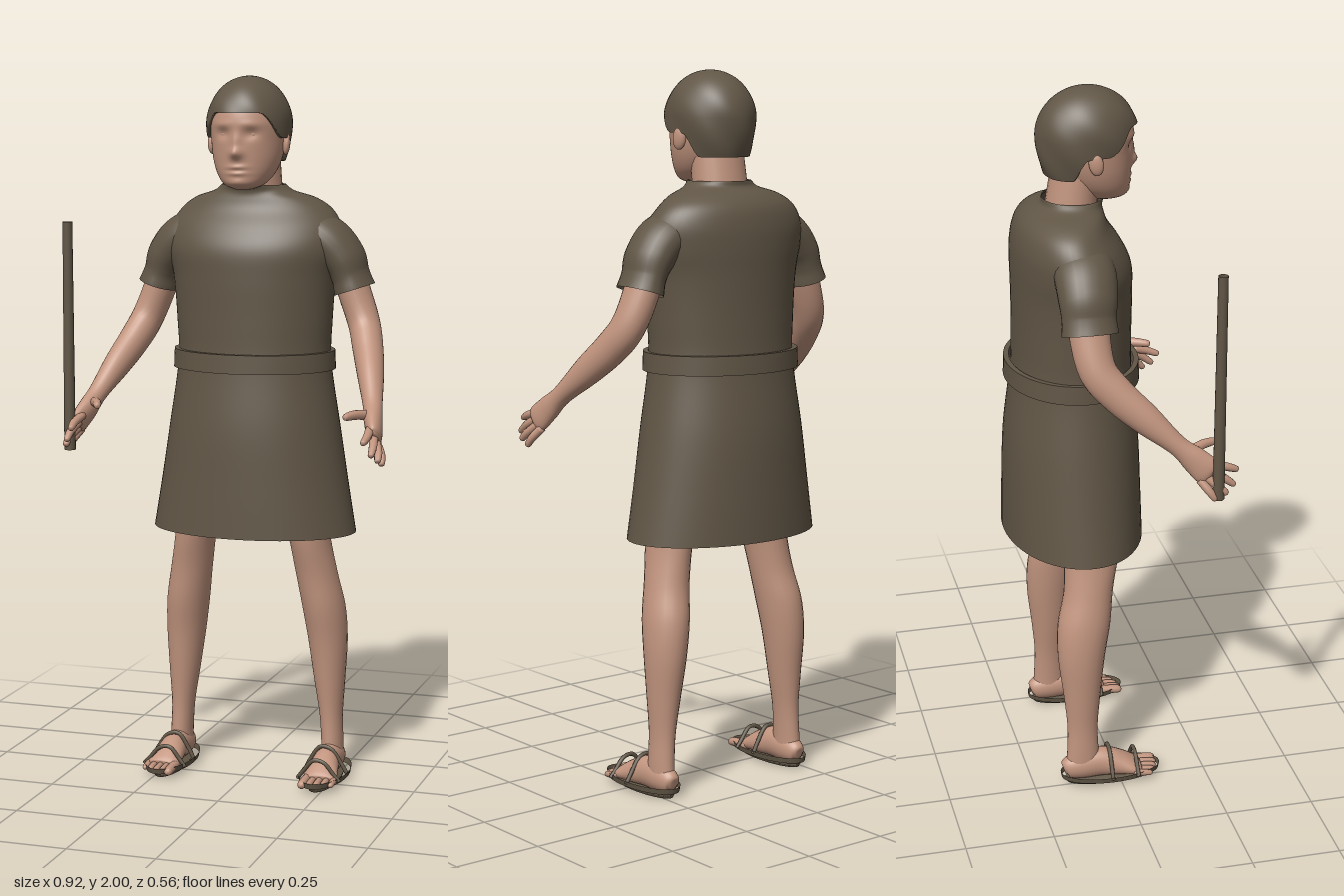
import * as THREE from 'three';
import { toCreasedNormals } from 'three/addons/utils/BufferGeometryUtils.js';
import { ParametricGeometry } from 'three/addons/geometries/ParametricGeometry.js';

const skin = new THREE.MeshStandardMaterial({ color: 0xc1947e });
skin.name = 'skin';
const brown = new THREE.MeshStandardMaterial({ color: 0x615646, side: THREE.DoubleSide });
brown.name = 'brown cloth';

// Smooth skin through elliptical rings [x, y, z, radiusAcross, radiusOther]; flat rings run upward
function loft(pts, { seg = 24, rows = 32, flat = false, cap = true } = {}) {
  const path = new THREE.CatmullRomCurve3(pts.map(p => new THREE.Vector3(p[0], p[1], p[2])), false, 'catmullrom', 0.5);
  const size = new THREE.CatmullRomCurve3(pts.map(p => new THREE.Vector3(p[3], p[4], 0)), false, 'catmullrom', 0.5);
  const pos = [], idx = [];
  for (let i = 0; i <= rows; i++) {
    const c = path.getPoint(i / rows), r = size.getPoint(i / rows);
    const t = flat ? new THREE.Vector3(0, 1, 0) : path.getTangent(i / rows);
    const a = new THREE.Vector3(1, 0, 0).addScaledVector(t, -t.x).normalize();
    const b = new THREE.Vector3().crossVectors(t, a);
    for (let j = 0; j < seg; j++) {
      const q = j / seg * Math.PI * 2;
      const v = c.clone().addScaledVector(a, Math.cos(q) * r.x).addScaledVector(b, Math.sin(q) * r.y);
      pos.push(v.x, v.y, v.z);
      if (i < rows) {
        const p = i * seg + j, n = i * seg + (j + 1) % seg;
        idx.push(p, n, n + seg, p, n + seg, p + seg);
      }
    }
  }
  if (cap) {
    const s = pos.length / 3, last = rows * seg;
    pos.push(...pts[0].slice(0, 3), ...pts[pts.length - 1].slice(0, 3));
    for (let j = 0; j < seg; j++) {
      const n = (j + 1) % seg;
      idx.push(s, n, j, s + 1, last + j, last + n);
    }
  }
  const g = new THREE.BufferGeometry();
  g.setAttribute('position', new THREE.Float32BufferAttribute(pos, 3));
  g.setIndex(idx);
  g.computeVertexNormals();
  return g;
}

const gauss = (d, w) => Math.exp(-d * d / (w * w));
const mirror = (pts, s) => pts.map(p => [p[0] * s, ...p.slice(1)]);
const ring = (y, rx, front, back) => [0, y, (front + back) / 2, rx, (front - back) / 2];

export function createModel() {
  const model = new THREE.Group();
  const add = (name, geo, mat, parent = model) => {
    const m = new THREE.Mesh(geo, mat);
    m.name = name;
    parent.add(m);
    return m;
  };

  // Tunic body and skirt, open at hem and collar
  add('tunic', loft([
    ring(0.718, 0.297, 0.11, -0.28), ring(0.86, 0.273, 0.106, -0.278), ring(1.02, 0.248, 0.1, -0.272),
    ring(1.2, 0.222, 0.082, -0.25), ring(1.32, 0.225, 0.08, -0.245), ring(1.44, 0.235, 0.081, -0.245),
    ring(1.52, 0.252, 0.077, -0.246), ring(1.58, 0.25, 0.05, -0.242), ring(1.63, 0.22, 0.016, -0.228),
    ring(1.662, 0.175, 0.004, -0.2), ring(1.682, 0.115, 0.002, -0.165), ring(1.7, 0.09, 0.01, -0.16),
  ], { seg: 56, rows: 66, flat: true, cap: false }), brown);

  // Belt: a closed band around the waist
  const belt = [[1.183, 0.218, 0.17], [1.183, 0.234, 0.187], [1.236, 0.232, 0.185], [1.236, 0.218, 0.17]];
  add('belt', toCreasedNormals(loft(belt.map(([y, a, b]) => [0, y, -0.083, a, b]),
    { seg: 56, rows: 3, flat: true, cap: false }), 0.7), brown);

  // Neck
  add('neck', loft([[0, 1.62, -0.085, 0.085, 0.075], [0, 1.7, -0.077, 0.08, 0.07], [0, 1.8, -0.06, 0.078, 0.07]],
    { flat: true }), skin);

  // Head with modelled face
  const head = loft([
    ring(1.69, 0.025, 0.05, -0.02), ring(1.703, 0.055, 0.073, -0.05), ring(1.73, 0.078, 0.08, -0.09),
    ring(1.77, 0.094, 0.083, -0.12), ring(1.82, 0.102, 0.086, -0.14), ring(1.88, 0.104, 0.09, -0.14),
    ring(1.93, 0.094, 0.073, -0.13), ring(1.965, 0.06, 0.04, -0.09),
  ], { seg: 96, rows: 90, flat: true });
  const hp = head.attributes.position;
  for (let i = 0; i < hp.count; i++) {
    const x = hp.getX(i), y = hp.getY(i), z = hp.getZ(i);
    if (z < 0.01) continue;
    const ax = Math.abs(x);
    hp.setZ(i, z
      + 0.018 * gauss(x, 0.018) * gauss(y - 1.79, 0.016)          // nose tip
      + 0.009 * gauss(x, 0.014) * gauss(y - 1.82, 0.024)          // nose bridge
      - 0.009 * gauss(ax - 0.04, 0.021) * gauss(y - 1.843, 0.015) // eye sockets
      + 0.003 * gauss(ax - 0.04, 0.03) * gauss(y - 1.868, 0.01)   // brows
      + 0.005 * gauss(x, 0.026) * (gauss(y - 1.752, 0.007) + gauss(y - 1.735, 0.007)) // lips
      - 0.002 * gauss(x, 0.028) * gauss(y - 1.743, 0.005)
      + 0.005 * gauss(x, 0.025) * gauss(y - 1.71, 0.012));        // chin
  }
  head.computeVertexNormals();
  add('head', head, skin);

  // Hair cap: straight fringe, sideburns, longer at the back, slightly lumpy
  const step = THREE.MathUtils.smoothstep;
  add('hair', new ParametricGeometry((u, v, out) => {
    const q = -u * Math.PI * 2, d = Math.abs(Math.atan2(Math.sin(q), Math.cos(q)));
    const edge = 1.9 - 0.07 * step(d, 0.6, 1.3) - 0.066 * step(d, 1.7, 2.1);
    const w = Math.min(v / 0.9, 1), y = 2 - (2 - edge) * (1 - Math.cos(w * Math.PI / 2));
    let r = y > 1.87 ? Math.sqrt(Math.max(0, 1 - ((y - 1.87) / 0.13) ** 2)) : 1 - 0.16 * ((1.87 - y) / 0.11) ** 2;
    r *= 1 + 0.014 * Math.sin(q * 6 + y * 45) * w;
    if (v > 0.9) r *= 1 - 1.4 * (v - 0.9);
    out.set(0.117 * r * Math.sin(q), y, -0.036 + 0.139 * r * Math.cos(q));
  }, 64, 30), brown);

  for (const s of [1, -1]) {
    const side = new THREE.Group();
    side.name = s > 0 ? 'leftSide' : 'rightSide';
    model.add(side);
    const limb = (name, pts, mat, opt) => add(name, loft(mirror(pts, s), opt), mat, side);

    // Eye and ear
    add('eye', new THREE.SphereGeometry(0.013, 16, 12), skin, side).position.set(0.04 * s, 1.842, 0.058);
    const ear = add('ear', new THREE.SphereGeometry(1, 16, 12), skin, side);
    ear.scale.set(0.011, 0.032, 0.02);
    ear.position.set(0.107 * s, 1.815, -0.035);
    ear.rotation.set(-0.15, 0.35 * s, 0);

    // Short sleeve with a flared hem
    limb('sleeve', [
      [0.1, 1.585, -0.09, 0.05, 0.075], [0.2, 1.555, -0.09, 0.064, 0.084], [0.255, 1.5, -0.093, 0.062, 0.08],
      [0.277, 1.45, -0.095, 0.053, 0.074], [0.29, 1.41, -0.095, 0.058, 0.077],
    ], brown, { cap: false });

    // Arm, wrist and palm
    limb('arm', [
      [0.255, 1.52, -0.095, 0.045, 0.055], [0.283, 1.42, -0.097, 0.046, 0.055], [0.32, 1.32, -0.083, 0.045, 0.051],
      [0.345, 1.255, -0.035, 0.043, 0.048], [0.372, 1.19, 0.035, 0.037, 0.042], [0.4, 1.118, 0.115, 0.027, 0.028],
      [0.414, 1.077, 0.16, 0.025, 0.036], [0.427, 1.045, 0.193, 0.019, 0.039], [0.43, 1.035, 0.205, 0.008, 0.025],
    ], skin, { rows: 48 });

    // Thumb and four fingers, each from base to tip
    const digits = [
      [[0.4, 1.095, 0.15], [0.373, 1.1, 0.195], [0.354, 1.098, 0.238]],
      [[0.415, 1.063, 0.2], [0.42, 1.05, 0.245], [0.417, 1.036, 0.282]],
      [[0.424, 1.047, 0.195], [0.434, 1.025, 0.235], [0.436, 1.0, 0.268]],
      [[0.428, 1.032, 0.186], [0.444, 1.005, 0.22], [0.449, 0.982, 0.244]],
      [[0.428, 1.022, 0.173], [0.446, 0.993, 0.195], [0.452, 0.968, 0.212]],
    ];
    digits.forEach(([a, b, c], i) => {
      const r = i ? 0.0115 : 0.013;
      const near = c.map((v, k) => v + (b[k] - v) * 0.15);
      limb(i ? 'finger' : 'thumb', [[...a, r * 1.1, r * 1.1], [...b, r, r], [...near, r * 0.75, r * 0.75], [...c, 0.002, 0.002]],
        skin, { seg: 10, rows: 12 });
    });

    // Leg, from ankle to hip
    limb('leg', [
      [0.231, 0.05, -0.105, 0.031, 0.05], [0.23, 0.1, -0.105, 0.031, 0.046], [0.226, 0.18, -0.105, 0.033, 0.044],
      [0.221, 0.28, -0.105, 0.044, 0.053], [0.215, 0.4, -0.105, 0.056, 0.067], [0.205, 0.5, -0.095, 0.061, 0.075],
      [0.188, 0.6, -0.078, 0.059, 0.07], [0.168, 0.72, -0.065, 0.058, 0.08],
      [0.148, 0.85, -0.07, 0.071, 0.09], [0.115, 1.0, -0.075, 0.085, 0.1],
    ], skin, { rows: 48, flat: true });

    // Foot and toes
    limb('foot', [
      [0.23, 0.042, -0.162, 0.012, 0.015], [0.23, 0.046, -0.15, 0.026, 0.032], [0.231, 0.052, -0.11, 0.034, 0.042],
      [0.232, 0.056, -0.05, 0.036, 0.044], [0.233, 0.046, 0, 0.043, 0.035], [0.236, 0.035, 0.04, 0.048, 0.022],
      [0.237, 0.028, 0.06, 0.042, 0.013],
    ], skin);
    for (let i = 0; i < 5; i++) {
      const x = 0.2 + i * 0.0195, r = i ? 0.0095 : 0.013, z = 0.116 - 0.0016 * i * i;
      limb('toe', [[x, 0.03, 0.035, r, r], [x, 0.027, z - 0.025, r, r],
        [x, 0.024, z - 0.006, r * 0.85, r * 0.8], [x, 0.023, z, 0.002, 0.002]], skin, { seg: 10, rows: 10 });
    }

    // Sandal: sole plate, loose rim band and two arched straps
    limb('sandalSole', [[0.232, 0.002, -0.03, 0.038, 0.122], [0.232, 0.014, -0.03, 0.041, 0.13]], brown,
      { rows: 1, flat: true, seg: 32 });
    limb('sandalRim', [[0.232, 0.018, -0.025, 0.064, 0.143], [0.232, 0.034, -0.025, 0.067, 0.146]], brown,
      { rows: 1, flat: true, cap: false, seg: 40 });
    for (const [z, reach, top] of [[0.046, 0.062, 0.08], [-0.03, 0.064, 0.1]]) {
      const arch = [[-1, 0.025], [-0.72, 0.6 * top], [-0.25, top], [0.25, 0.95 * top], [0.72, 0.55 * top], [1, 0.025]]
        .map(([k, y]) => new THREE.Vector3(s * (0.232 + k * reach), y, z));
      add('sandalStrap', new THREE.TubeGeometry(new THREE.CatmullRomCurve3(arch), 24, 0.006, 8), brown, side);
    }
  }

  // Hollow staff beside the right hand
  add('staff', new THREE.CylinderGeometry(0.0135, 0.016, 0.635, 16, 1, true), brown).position.set(-0.444, 1.286, 0.22);
  return model;
}
